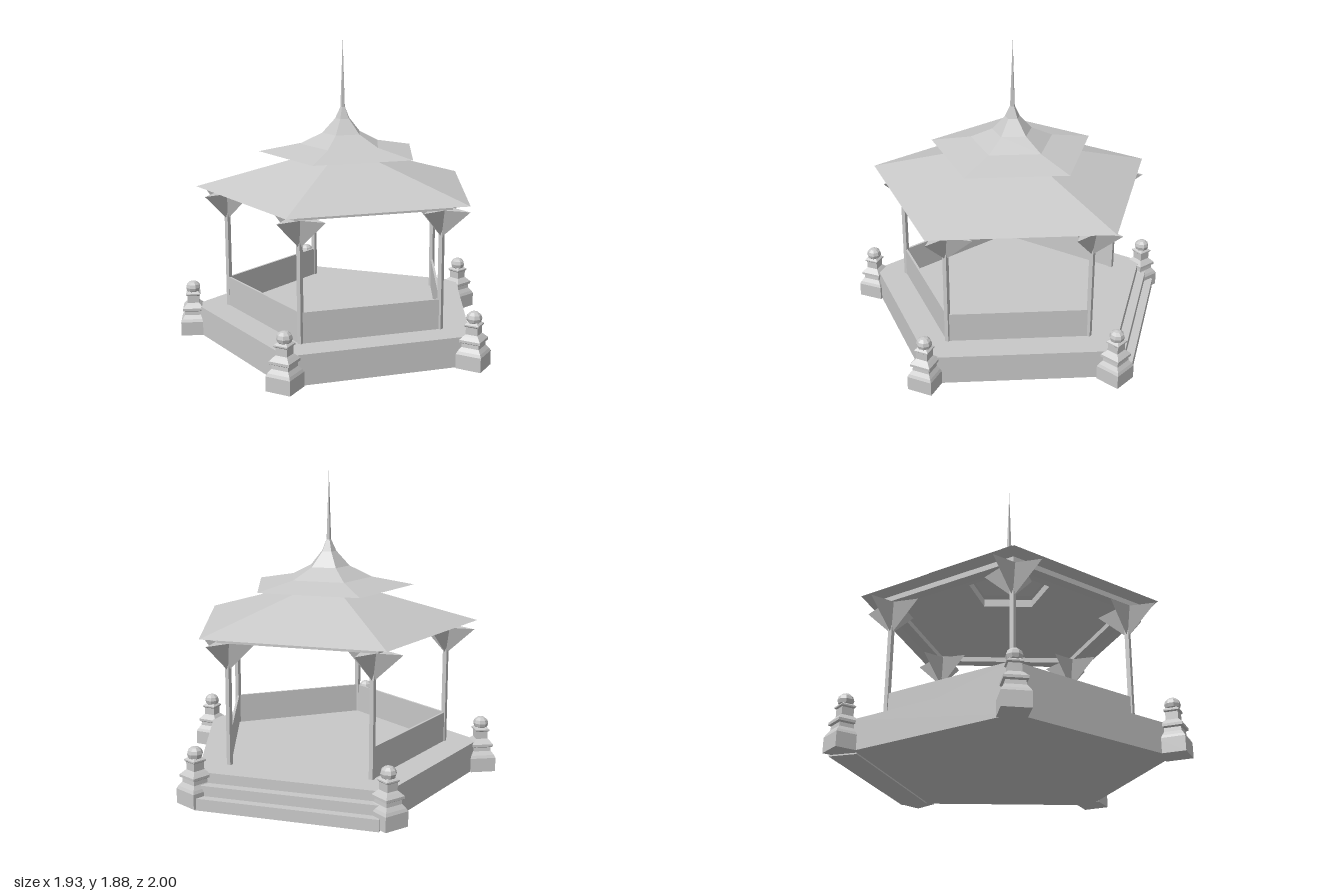
import * as THREE from 'three';

const stone = new THREE.MeshStandardMaterial({ color: 0xc8c8c8, flatShading: true, side: THREE.DoubleSide });
stone.name = 'pale grey';

const CX = -0.09, CZ = -0.01;
const V = (pts) => pts.map(([r, y]) => new THREE.Vector2(r, y));
const corner = (k, r) => {
  const a = k * Math.PI * 2 / 5;
  return new THREE.Vector3(r * Math.cos(a), 0, r * Math.sin(a));
};

export function createModel() {
  const root = new THREE.Group();
  root.name = 'pavilion';
  const pavilion = new THREE.Group();
  pavilion.name = 'pentagonBody';
  pavilion.position.set(CX, 0, CZ);
  root.add(pavilion);

  const add = (name, geo, parent = pavilion) => {
    const m = new THREE.Mesh(geo, stone);
    m.name = name;
    parent.add(m);
    return m;
  };
  // five-sided shell from a radius/height profile, one corner towards +x
  const pentagon = (name, pts) => add(name, new THREE.LatheGeometry(V(pts), 5, Math.PI / 2));

  // Floor platform
  pentagon('platform', [[0, 0.008], [0.94, 0.008], [0.94, 0.19], [0, 0.19]]);

  // Entrance steps on the open side
  const steps = new THREE.Group();
  steps.name = 'entranceSteps';
  steps.rotation.y = 108 * Math.PI / 180;
  pavilion.add(steps);
  [[0.815, 0.13], [0.865, 0.07]].forEach(([reach, h], i) => {
    add('step' + (i + 1), new THREE.BoxGeometry(reach - 0.7, h, 1.07), steps)
      .position.set((reach + 0.7) / 2, h / 2, 0);
  });

  // Low walls on the other four sides
  for (const k of [0, 1, 2, 4]) {
    const a = corner(k, 0.725), b = corner(k + 1, 0.725);
    const wall = add('lowWall', new THREE.BoxGeometry(a.distanceTo(b), 0.185, 0.014));
    wall.position.copy(a).add(b).multiplyScalar(0.5).setY(0.2825);
    wall.rotation.y = -Math.atan2(b.z - a.z, b.x - a.x);
  }

  // Posts with star-shaped brackets
  const bracketGeo = new THREE.ConeGeometry(0.19, 0.175, 8, 1);
  bracketGeo.rotateX(Math.PI);
  const p = bracketGeo.attributes.position;
  for (let i = 0; i < p.count; i++) {
    const x = p.getX(i), z = p.getZ(i);
    // pull in the diagonal corners to leave four arms
    if (Math.abs(x) > 0.05 && Math.abs(z) > 0.05) p.setXYZ(i, x * 0.35, p.getY(i), z * 0.35);
  }
  for (let k = 0; k < 5; k++) {
    const c = corner(k, 0.725);
    add('post', new THREE.BoxGeometry(0.026, 0.76, 0.026)).position.set(c.x, 0.56, c.z);
    add('bracket', bracketGeo).position.set(c.x, 0.8375, c.z);
  }

  // Beam ring under the eaves
  pentagon('beamRing', [[0.72, 0.925], [0.8, 0.925], [0.8, 0.957], [0.72, 0.957], [0.72, 0.925]]);

  // Roofs
  pentagon('lowerRoof', [[0.915, 0.96], [0.258, 1.15]]);
  pentagon('roofNeck', [[0.258, 1.15], [0.258, 1.2]]);
  pentagon('upperRoofAndSpire', [[0.52, 1.183], [0.265, 1.232], [0.127, 1.3], [0.047, 1.39],
    [0.015, 1.46], [0, 1.88]]);

  // Corner piers: square pedestal, collar, shaft and ball
  const s = Math.SQRT2;
  const pierGeo = new THREE.LatheGeometry(V([[0, 0.008], [0.078, 0.008], [0.078, 0.095], [0.07, 0.112],
    [0.054, 0.135], [0.052, 0.158], [0.064, 0.165], [0.064, 0.18], [0.046, 0.2], [0.036, 0.21],
    [0.036, 0.255], [0.044, 0.262], [0.044, 0.27], [0.025, 0.285]].map(([w, y]) => [w * s, y])), 4, Math.PI / 4);
  const turns = [8, 10, 43, -20, -10];
  turns.forEach((deg, k) => {
    const pier = new THREE.Group();
    pier.name = 'cornerPier';
    pier.position.copy(corner(k, 0.957));
    pier.rotation.y = deg * Math.PI / 180;
    pavilion.add(pier);
    add('pedestal', pierGeo, pier);
    const ball = add('ball', new THREE.SphereGeometry(0.047, 8, 6), pier);
    ball.position.y = 0.305;
    ball.scale.y = 0.88;
    ball.rotation.y = Math.PI / 8;
  });

  return root;
}
